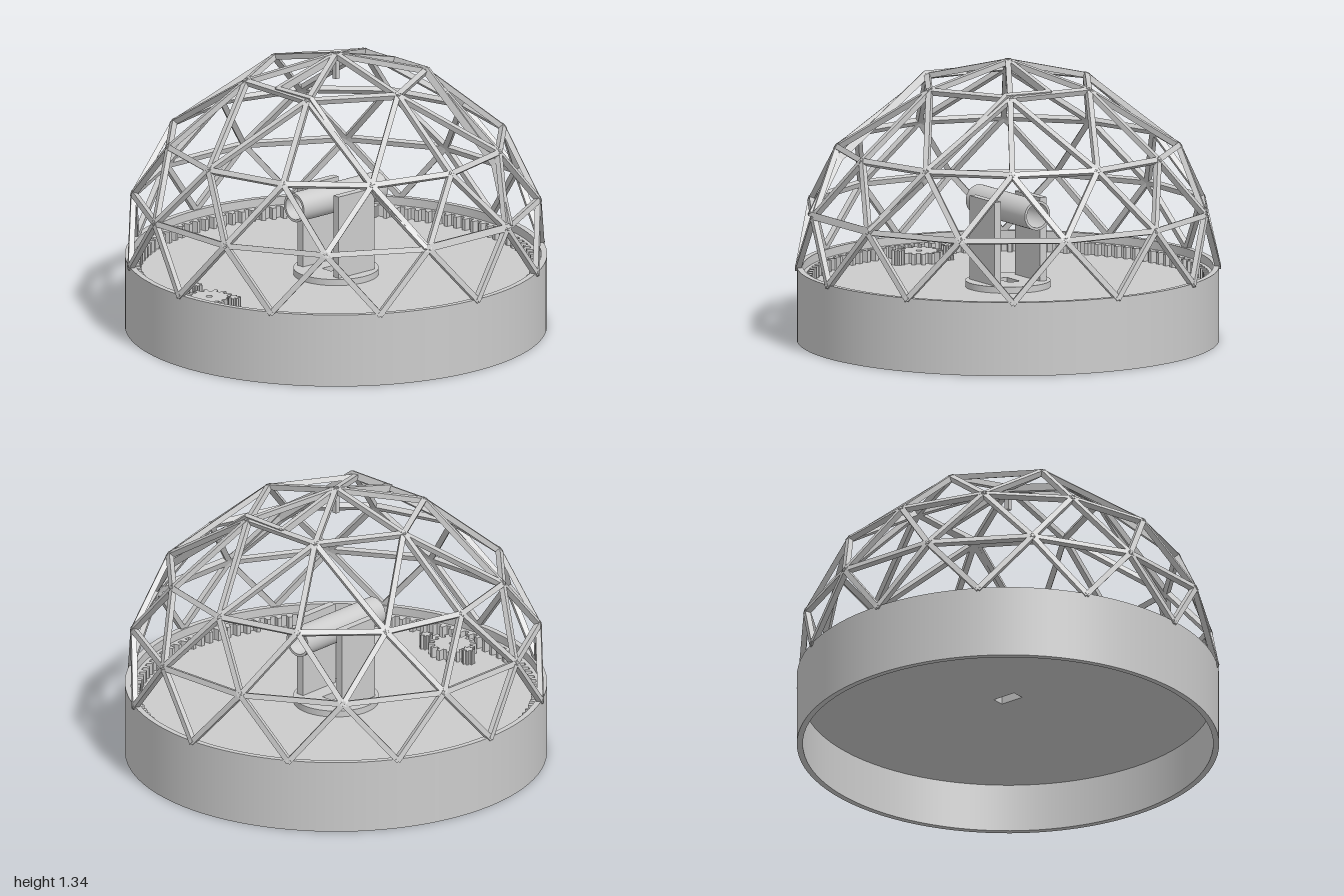
import * as THREE from 'three';

const mat = new THREE.MeshStandardMaterial({ color: 0xcccccc, side: THREE.DoubleSide });
const V = (x, y, z) => new THREE.Vector3(x, y, z);

function add(parent, name, geo, x = 0, y = 0, z = 0) {
  const mesh = new THREE.Mesh(geo, mat);
  mesh.name = name;
  mesh.position.set(x, y, z);
  parent.add(mesh);
  return mesh;
}

// Square bar from a to b, one face turned away from the dome centre
function bar(parent, name, a, b, w = 0.026, h = 0.026) {
  const mid = a.clone().add(b).multiplyScalar(0.5);
  const mesh = add(parent, name, new THREE.BoxGeometry(w, h, a.distanceTo(b) + 0.012), mid.x, mid.y, mid.z);
  const along = b.clone().sub(a).normalize();
  const side = mid.clone().sub(V(0, 0.35, 0)).cross(along).normalize();
  const out = along.clone().cross(side);
  mesh.quaternion.setFromRotationMatrix(new THREE.Matrix4().makeBasis(side, out, along));
}

// Flat outline pushed upwards
function slab(shape, depth) {
  return new THREE.ExtrudeGeometry(shape, { depth, bevelEnabled: false, curveSegments: 64 }).rotateX(-Math.PI / 2);
}

function circle(r, Kind = THREE.Shape) {
  const c = new Kind();
  c.absarc(0, 0, r, 0, Math.PI * 2, false);
  return c;
}

function slot(w, d) {
  return new THREE.Path([[-w, -d], [w, -d], [w, d], [-w, d]].map(([x, y]) => new THREE.Vector2(x / 2, y / 2)));
}

// Toothed outline alternating between a root and a tip radius
function toothPoints(teeth, root, tip) {
  const pts = [];
  for (let i = 0; i < teeth; i++) {
    [[0, root], [0.45, root], [0.55, tip], [0.9, tip]].forEach(([f, r]) => {
      const a = ((i + f) / teeth) * Math.PI * 2;
      pts.push(new THREE.Vector2(r * Math.cos(a), r * Math.sin(a)));
    });
  }
  return pts;
}

// Open-ended pipe about the y axis
function pipe(outer, inner, y0, y1, segments) {
  const p = [[inner, y0], [outer, y0], [outer, y1], [inner, y1], [inner, y0]];
  const parts = new THREE.Group();
  for (let i = 0; i < 4; i++) {
    const pts = [p[i], p[i + 1]].map(([x, y]) => new THREE.Vector2(x, y));
    add(parts, 'pipeFace', new THREE.LatheGeometry(pts, segments));
  }
  return parts;
}

function buildBase() {
  const base = new THREE.Group();
  base.name = 'base';
  const wall = pipe(0.99, 0.962, 0, 0.35, 96);
  wall.name = 'baseWall';
  base.add(wall);

  const floor = circle(0.965);
  floor.holes.push(slot(0.06, 0.12));
  add(base, 'floor', slab(floor, 0.02), 0, 0.235, 0);

  const ring = circle(0.963);
  ring.holes.push(new THREE.Path(toothPoints(110, 0.945, 0.918)));
  add(base, 'ringGear', slab(ring, 0.055), 0, 0.255, 0);
  return base;
}

function buildDome() {
  const dome = new THREE.Group();
  dome.name = 'dome';
  // Vertex rings: radius, height, count, starting angle in degrees
  const rings = [[0.43, 1.22, 6, 0], [0.8, 0.92, 12, 0], [0.95, 0.63, 12, 15], [0.985, 0.345, 12, 0]].map(
    ([r, y, n, start]) => Array.from({ length: n }, (_, i) => {
      const a = THREE.MathUtils.degToRad(start + (i * 360) / n);
      return V(r * Math.cos(a), y, r * Math.sin(a));
    }));
  const [top, upper, lower, foot] = rings;
  const strut = (a, b) => bar(dome, 'strut', a, b);

  [top, upper, lower].forEach(r => r.forEach((p, i) => strut(p, r[(i + 1) % r.length])));
  top.forEach((p, i) => {
    strut(V(0, 1.325, 0), p);
    [-1, 0, 1].forEach(k => strut(p, upper[(2 * i + k + 12) % 12]));
  });
  lower.forEach((p, i) => [upper, foot].forEach(r => {
    strut(p, r[i]);
    strut(p, r[(i + 1) % 12]);
  }));
  return dome;
}

function buildShutterFrame() {
  const frame = new THREE.Group();
  frame.name = 'shutterFrame';
  const apex = V(0, 1.32, 0);
  for (const s of [-1, 1]) {
    const path = [apex, V(0, 1.225, s * 0.365), V(0.23, 1.228, s * 0.362), V(0.7, 0.87, s * 0.375), V(0.915, 0.64, s * 0.265)];
    for (let i = 0; i < path.length - 1; i++) bar(frame, 'frameRail', path[i], path[i + 1], 0.022, 0.035);
  }
  bar(frame, 'frameSill', V(0.915, 0.64, -0.265), V(0.915, 0.64, 0.265), 0.022, 0.03);
  add(frame, 'apexPost', new THREE.BoxGeometry(0.022, 0.12, 0.022), 0, 1.27, 0);
  return frame;
}

function buildTelescope() {
  const scope = new THREE.Group();
  scope.name = 'telescope';
  const disc = circle(0.2);
  disc.holes.push(slot(0.06, 0.12));
  add(scope, 'turntable', slab(disc, 0.03), 0, 0.255, 0);
  for (const s of [-1, 1]) {
    add(scope, 'forkArm', new THREE.BoxGeometry(0.037, 0.4, 0.225), s * 0.125, 0.483, 0);
  }
  const tube = pipe(0.07, 0.058, -0.265, 0.265, 40);
  tube.name = 'tube';
  tube.rotation.x = Math.PI / 2;
  tube.position.set(0, 0.63, 0);
  scope.add(tube);
  return scope;
}

function buildDrive() {
  const drive = new THREE.Group();
  drive.name = 'drive';
  const gear = new THREE.Shape(toothPoints(14, 0.085, 0.112));
  gear.holes.push(circle(0.015, THREE.Path));
  add(drive, 'driveGear', slab(gear, 0.05), 0, 0.255, 0.8);
  for (const s of [-1, 1]) {
    add(drive, 'smallGear', slab(new THREE.Shape(toothPoints(8, 0.02, 0.032)), 0.07), s * 0.135, 0.255, 0.765);
  }
  return drive;
}

export function createModel() {
  const model = new THREE.Group();
  model.name = 'observatory';
  model.add(buildBase(), buildDome(), buildShutterFrame(), buildTelescope(), buildDrive());
  return model;
}
